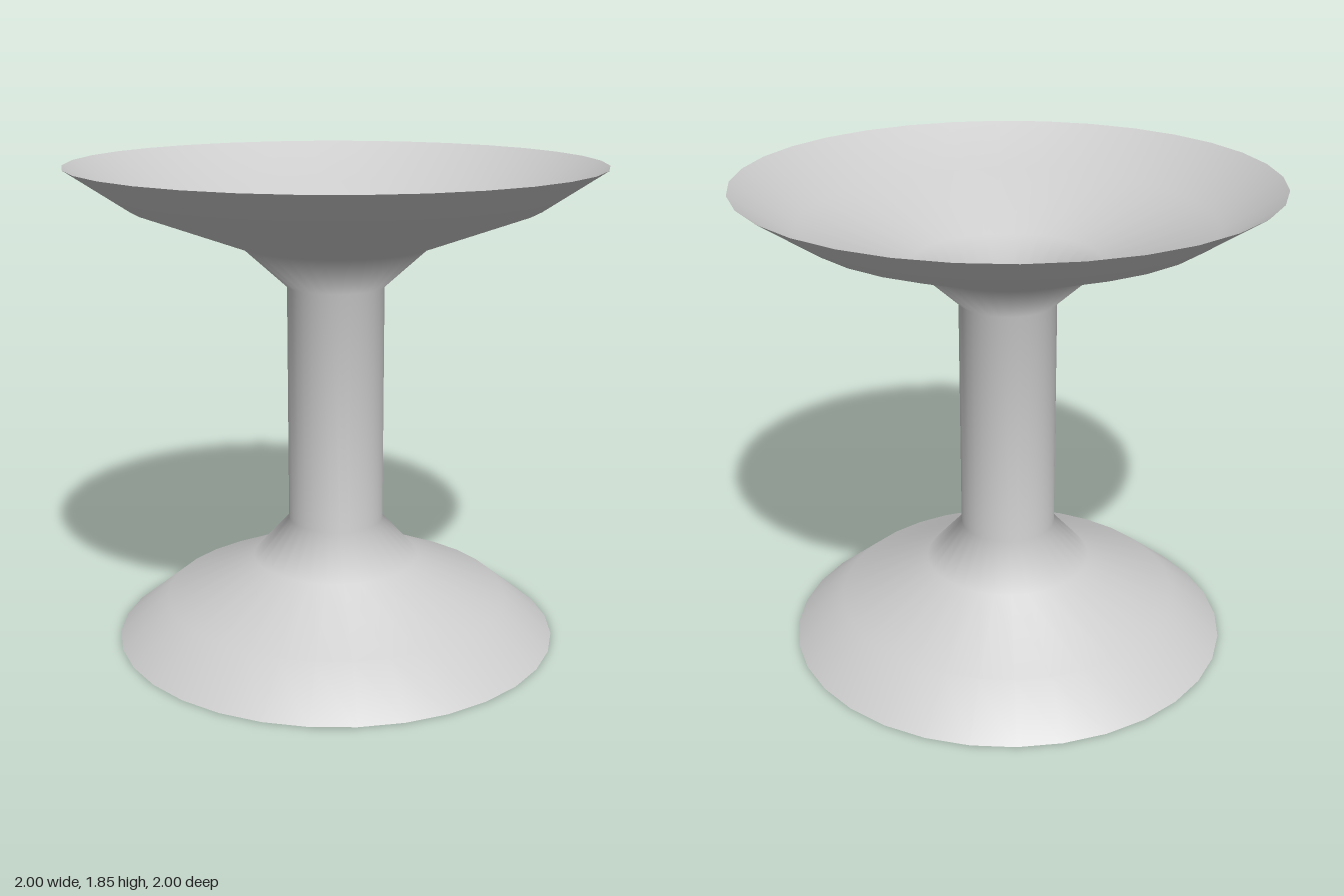
import * as THREE from 'three';

export function createModel() {
  const group = new THREE.Group();
  const material = new THREE.MeshStandardMaterial({ color: 0xcccccc, side: THREE.DoubleSide });

  // Open thin shell: flared base, straight hollow stem, wide flared bowl (radius, height)
  const profile = [
    [0.86, 0], [0.67, 0.154], [0.325, 0.308], [0.185, 0.462],
    [0.185, 1.386], [0.355, 1.54], [0.77, 1.693], [1, 1.846],
  ].map(([r, y]) => new THREE.Vector2(r, y));

  const shell = new THREE.Mesh(new THREE.LatheGeometry(profile, 32), material);
  shell.name = 'flaredPedestal';
  group.add(shell);
  return group;
}
